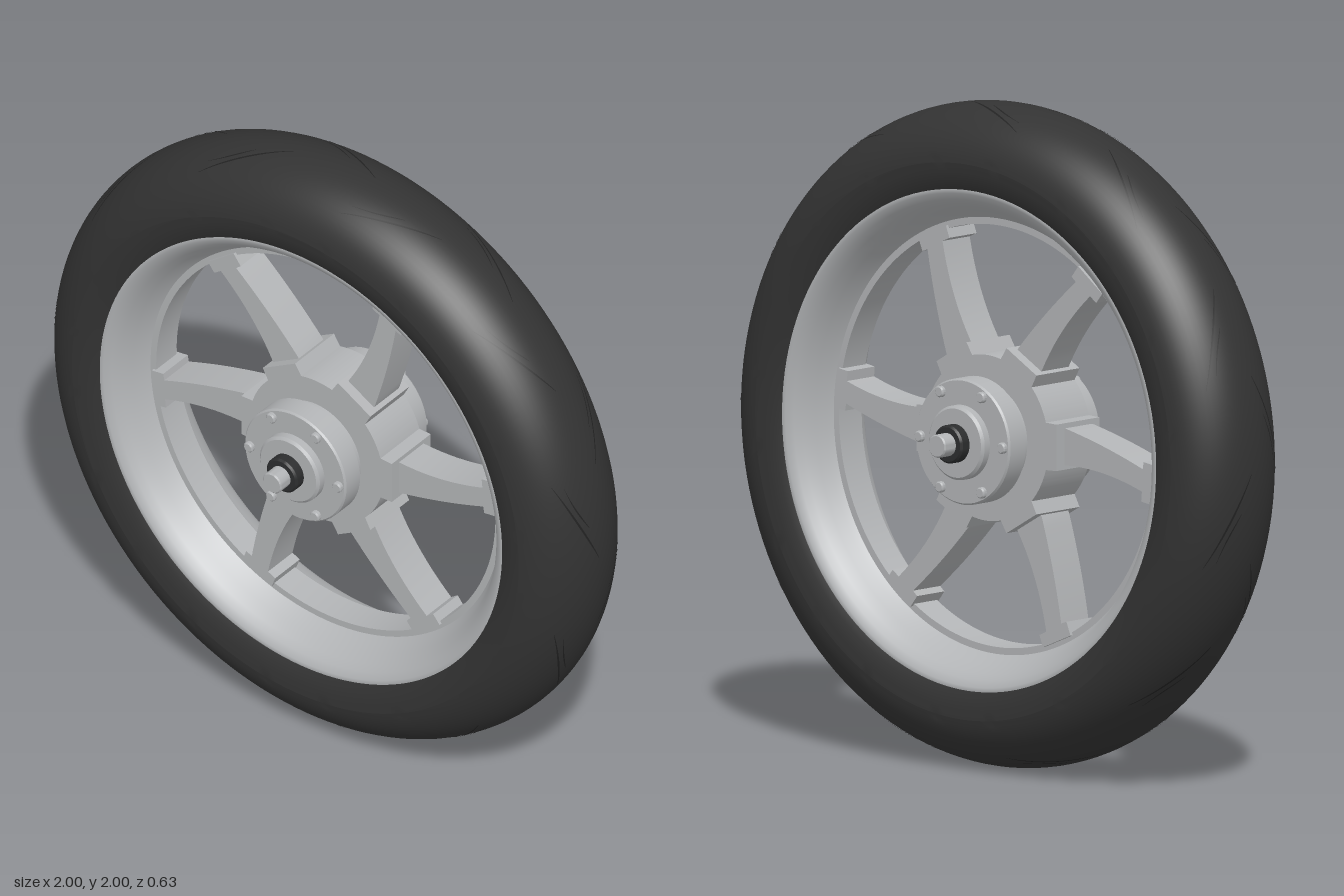
import * as THREE from 'three';
import { toCreasedNormals, mergeGeometries } from 'three/addons/utils/BufferGeometryUtils.js';

const mat = (name, color, side = THREE.FrontSide) => {
  const m = new THREE.MeshStandardMaterial({ color, side });
  m.name = name;
  return m;
};

// Ring or disc around the z axis from a [radius, z] profile, counterclockwise
function turned(profile, segments = 96, crease = 0.5) {
  const pts = profile.map(([r, z]) => new THREE.Vector2(r, z));
  const g = new THREE.LatheGeometry(pts, segments).rotateX(Math.PI / 2);
  return toCreasedNormals(g, crease);
}

function extruded(shape, depth) {
  const g = new THREE.ExtrudeGeometry(shape, { depth, bevelEnabled: false, curveSegments: 10 });
  return toCreasedNormals(g.translate(0, 0, -depth / 2), 0.5);
}

const tyreRadius = z => 0.82 + 0.18 * Math.sqrt(1 - (z / 0.2) ** 2);

// Thin tapered strip lying on the tyre crown; side is +1 or -1 in z
function treadStrip(angle, side, a0, z0, a1, z1, width) {
  const pos = [], index = [], n = 12;
  for (let i = 0; i <= n; i++) {
    const t = i / n;
    const z = z0 + (z1 - z0) * t + 0.008 * Math.sin(Math.PI * t);
    const a = angle + a0 + (a1 - a0) * t;
    const w = width * Math.sin(Math.PI * (0.08 + 0.84 * t));
    const r = tyreRadius(z) + 0.002;
    for (const s of [-1, 1]) {
      const b = a + s * w;
      pos.push(r * Math.cos(b), r * Math.sin(b), side * z);
    }
    if (i < n) {
      const k = 2 * i;
      index.push(...(side > 0 ? [k, k + 1, k + 2, k + 1, k + 3, k + 2] : [k, k + 2, k + 1, k + 1, k + 2, k + 3]));
    }
  }
  const g = new THREE.BufferGeometry();
  g.setAttribute('position', new THREE.Float32BufferAttribute(pos, 3));
  g.setIndex(index);
  g.computeVertexNormals();
  return g;
}

export function createModel() {
  const rubber = mat('tyre rubber', 0x333333);
  const groove = mat('tread groove', 0x222222, THREE.DoubleSide);
  const metal = mat('cast metal', 0xb2b4b6);
  const dark = mat('dark bushing', 0x2c2d2e);

  const model = new THREE.Group();
  const wheel = new THREE.Group();
  wheel.name = 'wheel';
  wheel.position.y = 1;
  model.add(wheel);
  const add = (name, geometry, material, parent = wheel) => {
    const m = new THREE.Mesh(geometry, material);
    m.name = name;
    parent.add(m);
    return m;
  };

  // Tyre: round crown, straight sidewall, bead tucked in to the rim
  const tyre = [[0.75, -0.16], [0.755, -0.172], [0.775, -0.182], [0.81, -0.19], [0.848, -0.192], [0.852, -0.198]];
  for (let i = 1; i < 32; i++) {
    const z = -0.2 * Math.cos(Math.PI * i / 32);
    tyre.push([tyreRadius(z), z]);
  }
  tyre.splice(5, 1);
  for (const [r, z] of tyre.slice(0, 5).reverse()) tyre.push([r, -z]);
  tyre.push([0.75, -0.16]);
  add('tyre', turned(tyre, 144), rubber);

  // Tread: eleven slanted cuts on each half, staggered
  const cuts = [];
  for (const [side, phase] of [[1, 107], [-1, 91]]) {
    for (let k = 0; k < 11; k++) {
      const a = THREE.MathUtils.degToRad(phase + k * 360 / 11);
      cuts.push(treadStrip(a, side, 0.15, 0.135, -0.15, 0.02, 0.008));
      cuts.push(treadStrip(a, side, 0.13, 0.105, -0.03, 0.05, 0.006));
    }
  }
  add('treadGrooves', mergeGeometries(cuts), groove);

  // Rim: lips, deep sloping barrel and a narrow centre ring
  const half = [[0.765, 0.168], [0.752, 0.172], [0.742, 0.17], [0.722, 0.155], [0.705, 0.135],
    [0.685, 0.1], [0.67, 0.07], [0.657, 0.05], [0.636, 0.05]];
  const rim = [...half, ...half.map(([r, z]) => [r, -z]).reverse(), half[0]];
  add('rim', turned(rim, 144, 0.6), metal);

  // Hub star with a square root for each spoke
  const star = new THREE.Shape();
  for (let k = 0; k < 6; k++) {
    const a = k * Math.PI / 3;
    const c = Math.cos(a), s = Math.sin(a);
    for (const y of [-0.07, 0.07]) {
      const x = 0.282, px = x * c - y * s, py = x * s + y * c;
      if (k === 0 && y < 0) star.moveTo(px, py);
      else star.lineTo(px, py);
    }
    star.absarc(0, 0, 0.25, a + 0.29, a + Math.PI / 3 - 0.29, false);
  }
  star.closePath();
  add('hubStar', extruded(star, 0.19), metal);

  // Six swept spokes, each with a foot against the rim
  const spoke = new THREE.Shape();
  spoke.moveTo(0.24, -0.056);
  spoke.lineTo(0.29, -0.054);
  spoke.quadraticCurveTo(0.45, -0.02, 0.598, 0.034);
  spoke.lineTo(0.602, 0.012);
  spoke.lineTo(0.645, 0.018);
  spoke.lineTo(0.63, 0.138);
  spoke.lineTo(0.592, 0.132);
  spoke.lineTo(0.595, 0.102);
  spoke.quadraticCurveTo(0.44, 0.05, 0.29, 0.056);
  spoke.lineTo(0.24, 0.056);
  spoke.closePath();
  const spokeGeometry = extruded(spoke, 0.12);
  for (let k = 0; k < 6; k++) add('spoke', spokeGeometry, metal).rotation.z = k * Math.PI / 3;

  // Hub cover, bolts, bushing and axle end on both faces
  const cover = turned([[0.165, 0.08], [0.165, 0.13], [0.19, 0.13], [0.19, 0.196], [0.185, 0.202],
    [0.112, 0.202], [0.112, 0.225], [0.104, 0.233], [0, 0.233]], 64);
  const bushing = turned([[0.058, 0.22], [0.058, 0.262], [0.052, 0.268], [0, 0.268]], 40);
  const axle = turned([[0.035, 0.25], [0.035, 0.311], [0.031, 0.315], [0, 0.315]], 32);
  const bolt = turned([[0.017, 0.19], [0.017, 0.212], [0.013, 0.216], [0, 0.216]], 16);
  for (const turn of [0, Math.PI]) {
    const end = new THREE.Group();
    end.name = turn ? 'backHubCover' : 'frontHubCover';
    end.rotation.y = turn;
    wheel.add(end);
    add('cover', cover, metal, end);
    add('bushing', bushing, dark, end);
    add('axleEnd', axle, metal, end);
    for (let k = 0; k < 6; k++) {
      const a = k * Math.PI / 3;
      add('bolt', bolt, metal, end).position.set(0.166 * Math.cos(a), 0.166 * Math.sin(a), 0);
    }
  }
  return model;
}
